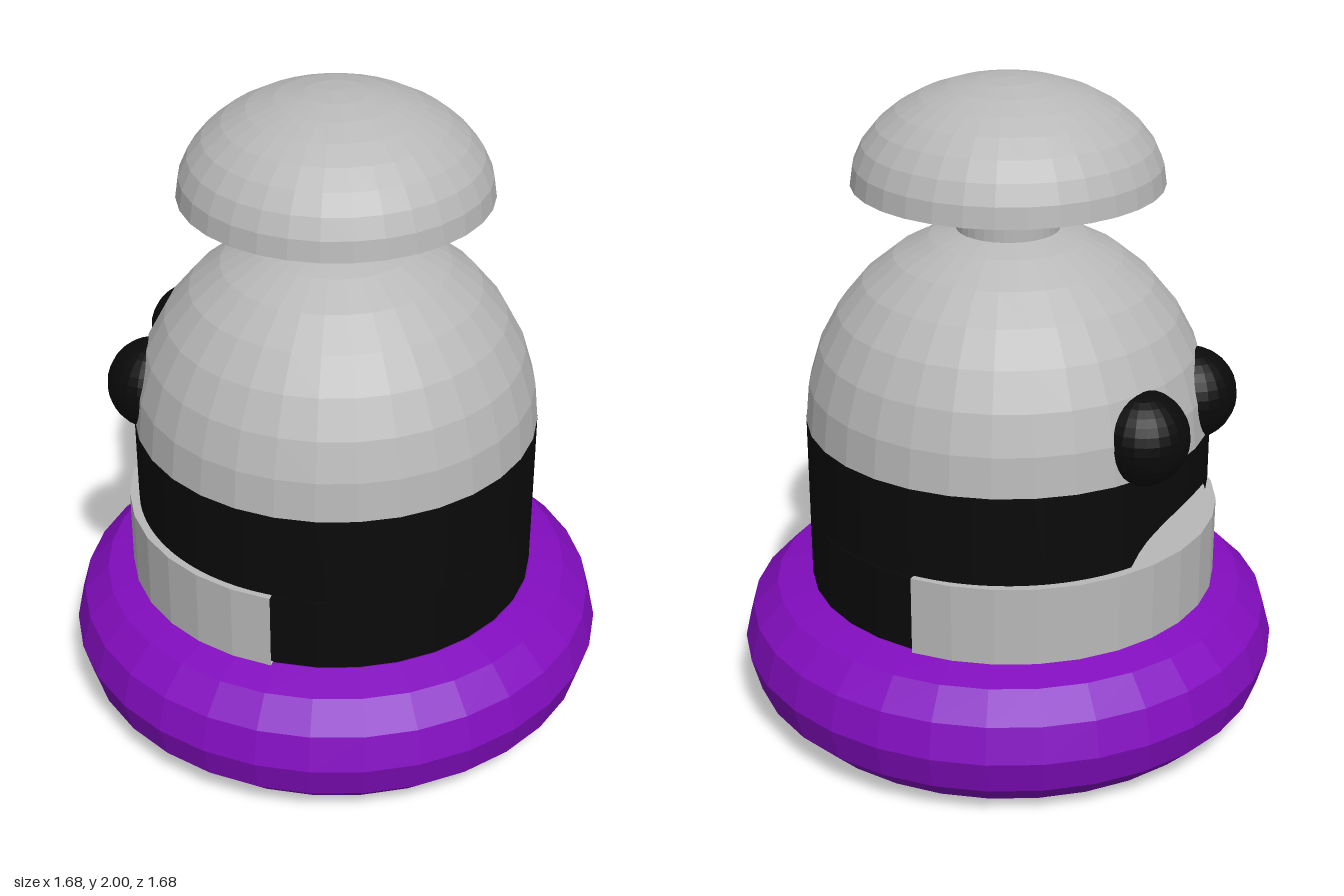
import * as THREE from 'three';

const SEG = 32;

function mat(name, color, extra = {}) {
  return Object.assign(new THREE.MeshStandardMaterial({ color, flatShading: true, ...extra }), { name });
}

export function createModel() {
  const model = new THREE.Group();
  model.name = 'domedFigure';

  const grey = mat('lightGrey', 0xb8b8b8, { side: THREE.DoubleSide });
  const black = mat('black', 0x0a0a0a, { side: THREE.DoubleSide });
  const purple = mat('purple', 0x820dbe);

  function add(name, geometry, material, x = 0, y = 0, z = 0) {
    const mesh = new THREE.Mesh(geometry, material);
    mesh.name = name;
    mesh.position.set(x, y, z);
    model.add(mesh);
    return mesh;
  }

  // Inflated ring around the foot
  const ring = new THREE.TorusGeometry(0.625, 0.215, 12, SEG);
  ring.rotateX(Math.PI / 2);
  add('baseRing', ring, purple, 0, 0.215, 0);

  // Lower body, closed at the bottom inside the ring
  const lowY = 0.055, lipY = 0.67, topY = 0.95;
  add('lowerBody', new THREE.CylinderGeometry(0.62, 0.62, lipY - 0.005 - lowY, SEG),
    black, 0, (lowY + lipY - 0.005) / 2, 0);

  // Upper body wall, its lower edge raised into an arched mouth on the -x side
  const wall = new THREE.LatheGeometry([
    new THREE.Vector2(0.62, lipY),
    new THREE.Vector2(0.62, topY),
    new THREE.Vector2(0, topY - 0.002),
  ], SEG * 4);
  const p = wall.attributes.position;
  for (let i = 0; i < p.count; i++) {
    const t = p.getZ(i) / 0.28;
    if (p.getY(i) < lipY + 0.001 && p.getX(i) < 0 && Math.abs(t) < 1) {
      p.setY(i, lipY + 0.13 * Math.sqrt(1 - t * t));
    }
  }
  add('upperBodyWithMouth', wall, black);

  // Half-round jaw, whose top is the floor of the mouth
  add('jaw', new THREE.CylinderGeometry(0.64, 0.64, 0.245, SEG / 2, 1, false, Math.PI, Math.PI),
    grey, -0.01, 0.5525, 0);

  // Head dome
  add('headDome', new THREE.SphereGeometry(0.62, SEG, 8, 0, Math.PI * 2, 0, Math.PI / 2),
    grey, 0, topY, 0);

  // Eyes on the -x side
  [['rightEye', -0.2], ['leftEye', 0.17]].forEach(([name, z]) =>
    add(name, new THREE.SphereGeometry(0.142, 24, 16), black, -0.53, 1.05, z));

  // Stem and hollow cap
  add('stem', new THREE.CylinderGeometry(0.155, 0.155, 0.42, SEG), grey, 0, 1.75, 0);
  const cap = new THREE.SphereGeometry(0.465, SEG, 8, 0, Math.PI * 2, 0, Math.PI / 2);
  cap.scale(1, 0.31 / 0.465, 1);
  add('cap', cap, grey, 0, 1.69, 0);

  return model;
}
